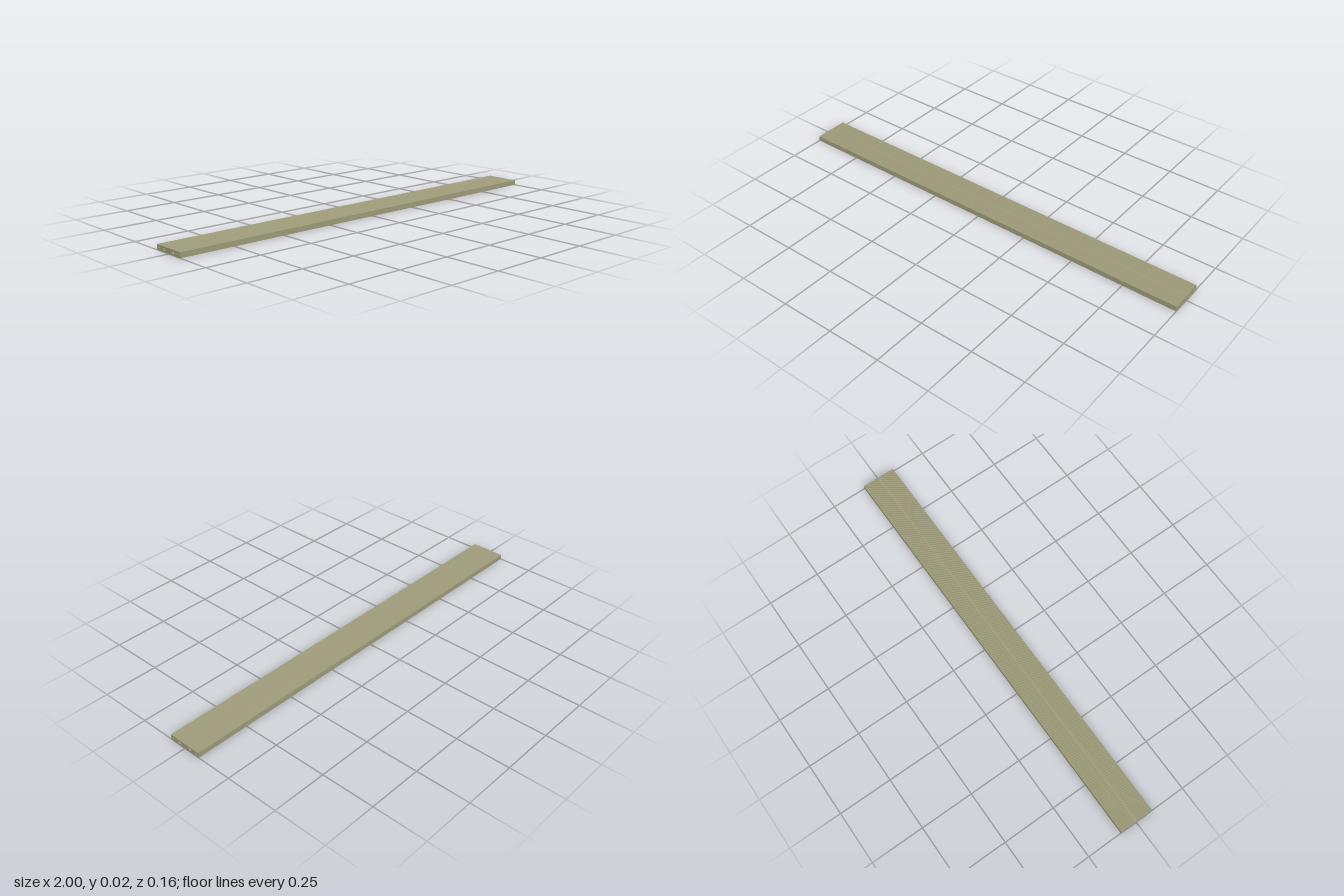
import * as THREE from 'three';

const LENGTH = 2, WIDTH = 0.163, HEIGHT = 0.024;
const GROOVES = 40, DEPTH = 0.0008, FLAT = 0.008, HOLE_DEPTH = 0.06;
const HOLES = [[-0.067, 0.0045], [-0.031, 0.007], [0.031, 0.007], [0.067, 0.0045]];
const HOLE_Y = 0.0125;

// Fine ridges across one face, leaving a flat strip in the middle
function ridges() {
  const pts = [], half = WIDTH / 2, n = GROOVES / 2;
  const pitch = (half - FLAT / 2) / n;
  for (const start of [-half, FLAT / 2]) {
    for (let i = 0; i < n; i++) {
      const x = start + i * pitch;
      pts.push([x, 0], [x + pitch * 0.35, 0], [x + pitch * 0.5, DEPTH], [x + pitch * 0.85, DEPTH]);
    }
    pts.push([start + n * pitch, 0]);
  }
  return pts;
}

export function createModel() {
  const group = new THREE.Group();
  group.name = 'deckBoard';
  const material = new THREE.MeshStandardMaterial({ color: 0x9c9a78 });

  // Board section, ridged on the top and underside
  const bottom = ridges().map(([x, d]) => new THREE.Vector2(x, d));
  const top = ridges().map(([x, d]) => new THREE.Vector2(x, HEIGHT - d)).reverse();
  const section = new THREE.Shape([...bottom, ...top]);
  for (const [x, r] of HOLES) {
    section.holes.push(new THREE.Path().absarc(x, HOLE_Y, r, 0, Math.PI * 2, true));
  }
  const boardGeometry = new THREE.ExtrudeGeometry(section, {
    depth: LENGTH, bevelEnabled: false, curveSegments: 16,
  });
  boardGeometry.translate(0, 0, -LENGTH / 2).rotateY(Math.PI / 2);
  const board = new THREE.Mesh(boardGeometry, material);
  board.name = 'board';
  group.add(board);

  // Floors of the blind holes in both ends
  for (const side of [-1, 1]) {
    for (const [z, r] of HOLES) {
      const floor = new THREE.Mesh(new THREE.CircleGeometry(r, 32), material);
      floor.name = 'holeFloor';
      floor.rotation.y = side * Math.PI / 2;
      floor.position.set(side * (LENGTH / 2 - HOLE_DEPTH), HOLE_Y, z);
      group.add(floor);
    }
  }
  return group;
}
